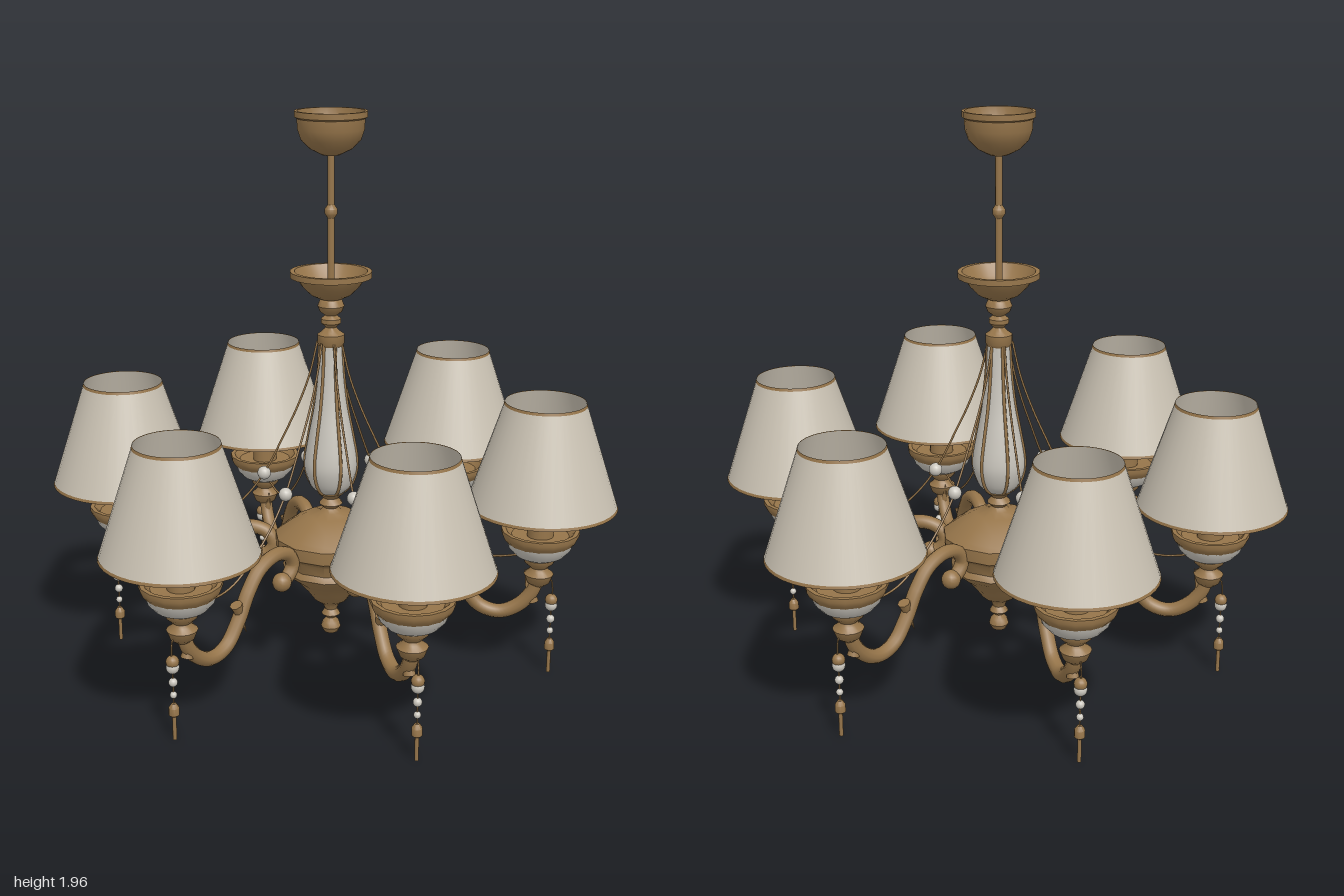
import * as THREE from 'three';
import { toCreasedNormals } from 'three/addons/utils/BufferGeometryUtils.js';

const mat = (name, color) => new THREE.MeshStandardMaterial({ name, color, side: THREE.DoubleSide });

export function createModel() {
  const bronze = mat('bronze', 0x96754a);
  const fabric = mat('shade fabric', 0xcac2b3);
  const porcelain = mat('porcelain', 0xc9c5bc);

  const add = (parent, name, geometry, material, x = 0, y = 0, z = 0) => {
    const mesh = new THREE.Mesh(geometry, material);
    mesh.name = name;
    mesh.position.set(x, y, z);
    parent.add(mesh);
    return mesh;
  };
  const vec2 = (points) => points.map(([x, y]) => new THREE.Vector2(x, y));
  // Turned part; [radius, height] pairs run up the outside
  const turned = (points, sides = 24) => toCreasedNormals(new THREE.LatheGeometry(vec2(points), sides), 0.7);
  // Round bar through points in the radial plane
  const bar = (points, radius, steps = 40, sides = 8) => new THREE.TubeGeometry(
    new THREE.CatmullRomCurve3(points.map(([x, y]) => new THREE.Vector3(x, y, 0))), steps, radius, sides);

  const model = new THREE.Group();
  model.name = 'chandelier';

  // Central column
  const column = new THREE.Group();
  column.name = 'column';
  column.position.z = -0.008;
  model.add(column);
  add(column, 'ceilingCanopy', turned([[0, 1.81], [0.03, 1.815], [0.07, 1.835], [0.1, 1.865], [0.112, 1.9],
    [0.114, 1.935], [0.122, 1.94], [0.122, 1.96], [0.112, 1.96], [0.104, 1.9], [0.08, 1.86], [0, 1.83]]), bronze);
  add(column, 'hangingRod', new THREE.CylinderGeometry(0.012, 0.012, 0.52, 12), bronze, 0, 1.57, 0);
  add(column, 'rodJoint', turned([[0.012, 1.605], [0.022, 1.62], [0.022, 1.635], [0.012, 1.65]], 12), bronze);
  add(column, 'upperDish', turned([[0, 1.325], [0.04, 1.33], [0.07, 1.345], [0.1, 1.375], [0.115, 1.4], [0.14, 1.405],
    [0.14, 1.425], [0.125, 1.425], [0.1, 1.385], [0.06, 1.35], [0, 1.345]]), bronze);
  add(column, 'upperNeck', turned([[0.04, 1.165], [0.046, 1.175], [0.046, 1.205], [0.032, 1.215], [0.018, 1.23],
    [0.034, 1.245], [0.034, 1.26], [0.02, 1.272], [0.038, 1.285], [0.046, 1.305], [0.038, 1.325], [0.02, 1.335]]), bronze);

  const vase = [[0.048, 0.635], [0.072, 0.66], [0.09, 0.71], [0.092, 0.76], [0.077, 0.85],
    [0.058, 0.95], [0.045, 1.06], [0.038, 1.18]];
  add(column, 'vase', turned(new THREE.SplineCurve(vec2(vase)).getPoints(24).map((p) => [p.x, p.y])), porcelain);
  for (let i = 0; i < 6; i++) {
    add(column, 'vaseRib', bar(vase, 0.006, 24, 6), bronze).rotation.y = -(i / 6) * Math.PI * 2 - Math.PI / 6;
  }

  add(column, 'hub', turned([[0, 0.09], [0.025, 0.095], [0.036, 0.115], [0.03, 0.135], [0.016, 0.15], [0.034, 0.165],
    [0.022, 0.185], [0.03, 0.205], [0.06, 0.225], [0.085, 0.26], [0.12, 0.3], [0.16, 0.33], [0.175, 0.35],
    [0.162, 0.37], [0.172, 0.41], [0.2, 0.43], [0.2, 0.475], [0.18, 0.49], [0.14, 0.52], [0.085, 0.55],
    [0.04, 0.56], [0.026, 0.575], [0.042, 0.59], [0.026, 0.61], [0.048, 0.63], [0.048, 0.64], [0, 0.645]], 12), bronze);

  // Shared geometry for the six lamps
  const R = 0.742;
  const armGeo = bar([[0.255, 0.375], [0.222, 0.39], [0.202, 0.425], [0.225, 0.467], [0.29, 0.485], [0.37, 0.46],
    [0.43, 0.395], [0.48, 0.31], [0.54, 0.24], [0.61, 0.222], [0.68, 0.255], [0.725, 0.315], [R, 0.4]], 0.025, 64, 10);
  const stemGeo = turned([[0.02, 0.33], [0.04, 0.345], [0.052, 0.375], [0.034, 0.39], [0.03, 0.4],
    [0.052, 0.42], [0.056, 0.435], [0, 0.437]], 16);
  const bowlGeo = turned([[0.05, 0.433], [0.085, 0.45], [0.108, 0.475], [0.116, 0.497]]);
  const rimGeo = turned([[0.115, 0.495], [0.128, 0.51], [0.135, 0.525], [0.135, 0.54], [0.12, 0.54], [0.1, 0.52], [0, 0.515]], 16);
  const chainGeo = bar([[0.042, 1.18], [0.07, 1.06], [0.11, 0.95], [0.16, 0.84], [0.235, 0.69], [0.31, 0.59],
    [0.41, 0.5], [0.5, 0.445], [0.58, 0.43], [0.7, 0.445]], 0.004, 48, 6);
  const leafGeo = new THREE.ConeGeometry(0.022, 0.13, 8);
  const sphere = (r) => new THREE.SphereGeometry(r, 16, 10);
  const ring = (r) => new THREE.CylinderGeometry(r, r + 0.003, 0.01, 40, 1, true);
  const shadeGeo = new THREE.CylinderGeometry(0.138, 0.258, 0.365, 40, 1, true);
  const hookGeo = bar([[0.765, 0.35], [0.785, 0.355], [0.792, 0.33], [0.79, 0.2], [0.79, 0.05]], 0.003, 24, 6);
  const capGeo = turned([[0.012, 0.085], [0.018, 0.09], [0.018, 0.115], [0.008, 0.13], [0, 0.132]], 10);

  for (let i = 0; i < 6; i++) {
    const lamp = new THREE.Group();
    lamp.name = 'lampArm';
    lamp.rotation.y = -THREE.MathUtils.degToRad(31.4 + i * 60);
    model.add(lamp);

    // Curved arm with scroll and leaves
    add(lamp, 'arm', armGeo, bronze);
    add(lamp, 'scrollEnd', sphere(0.034), bronze, 0.258, 0.374);
    add(lamp, 'armLeaf', leafGeo, bronze, 0.465, 0.31).rotation.z = 2.75;
    add(lamp, 'cupLeaf', leafGeo, bronze, 0.708, 0.33).rotation.z = 0.25;

    // Cup, candle and bulb
    add(lamp, 'cupStem', stemGeo, bronze, R);
    add(lamp, 'cupBowl', bowlGeo, porcelain, R);
    add(lamp, 'cupRim', rimGeo, bronze, R);
    add(lamp, 'candle', new THREE.CylinderGeometry(0.046, 0.046, 0.24, 16), bronze, R, 0.635);
    add(lamp, 'bulb', sphere(0.048), porcelain, R, 0.79);

    // Shade with trim rings
    add(lamp, 'shade', shadeGeo, fabric, R, 0.818);
    add(lamp, 'shadeTopTrim', ring(0.138), bronze, R, 0.998);
    add(lamp, 'shadeBottomTrim', ring(0.257), bronze, R, 0.638);

    // Draped chain with bead
    add(lamp, 'chain', chainGeo, bronze);
    add(lamp, 'chainBead', sphere(0.024), porcelain, 0.235, 0.69);

    // Hanging pendant
    add(lamp, 'pendantHook', hookGeo, bronze);
    add(lamp, 'pendantCap', sphere(0.022), bronze, 0.79, 0.278);
    add(lamp, 'pendantBead', sphere(0.022), porcelain, 0.79, 0.258);
    add(lamp, 'pendantBead', sphere(0.015), porcelain, 0.79, 0.205);
    add(lamp, 'pendantBead', sphere(0.012), porcelain, 0.79, 0.16);
    add(lamp, 'pendantBell', capGeo, bronze, 0.79);
    add(lamp, 'pendantDrop', new THREE.CylinderGeometry(0.007, 0.007, 0.095, 8), bronze, 0.79, 0.0475);
  }
  return model;
}
